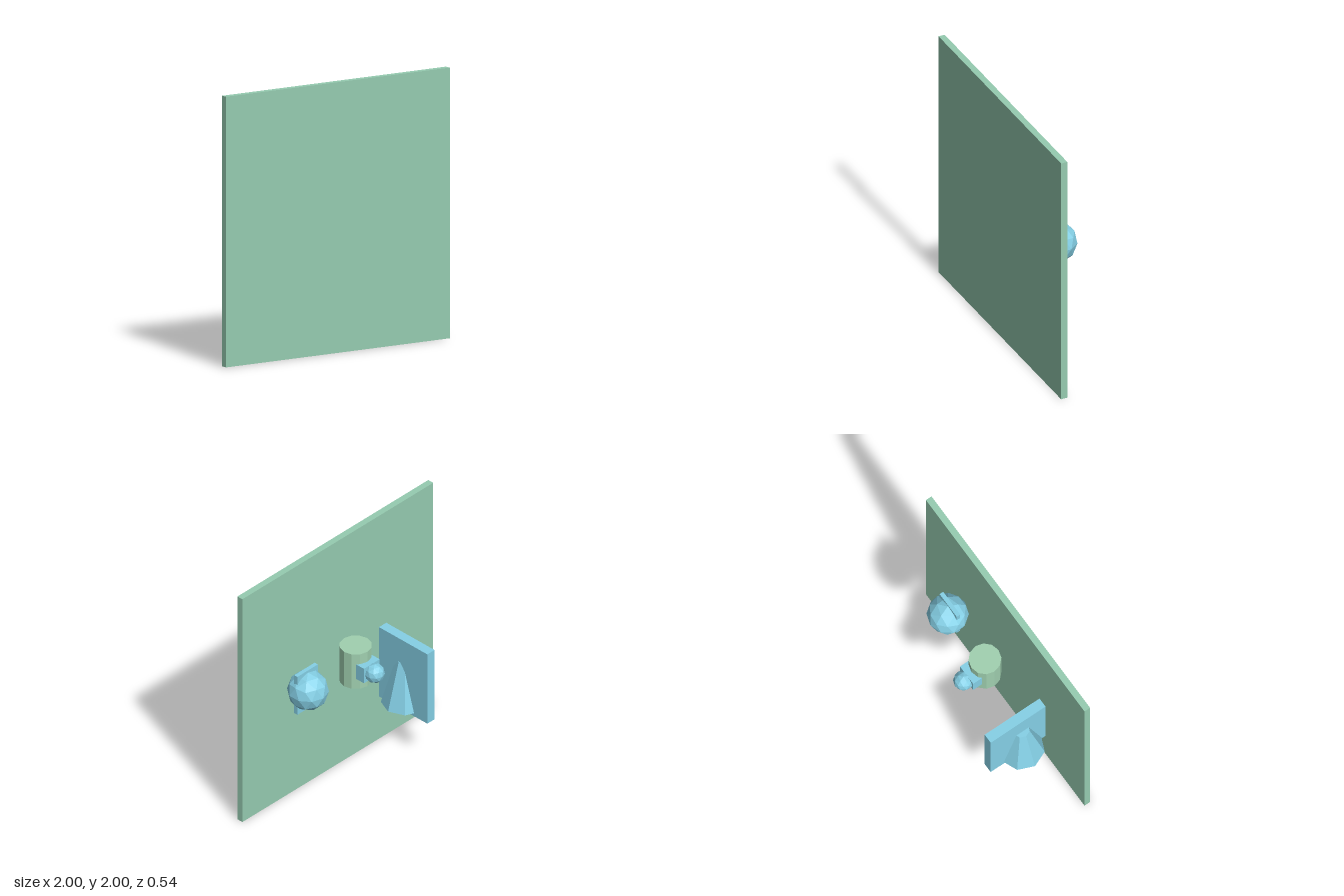
import * as THREE from 'three';

const material = (color) => new THREE.MeshStandardMaterial({ color, flatShading: true });

export function createModel() {
  const group = new THREE.Group();
  const green = material(0x96ccb1);
  const paleGreen = material(0xa0d0b0);
  const blue = material(0x85d0e6);

  const add = (name, geometry, mat, x, y, z) => {
    const mesh = new THREE.Mesh(geometry, mat);
    mesh.name = name;
    mesh.position.set(x, y, z);
    group.add(mesh);
    return mesh;
  };

  // Low-poly ball turned so that a corner points straight up
  const ball = (radius) =>
    new THREE.IcosahedronGeometry(radius, 1).rotateZ(Math.PI / 2 - Math.atan2((1 + Math.sqrt(5)) / 2, 1));

  // Large upright square panel
  add('panel', new THREE.BoxGeometry(2, 2, 0.05), green, 0, 1, 0.243);

  // Ball pierced by a thin plate
  add('largeBall', ball(0.154), blue, 0.487, 1.003, 0.05);
  add('ballPlate', new THREE.BoxGeometry(0.215, 0.34, 0.032), blue, 0.487, 1.003, 0.07);

  // Central drum with a block and a small ball behind it
  add('drum', new THREE.CylinderGeometry(0.12, 0.12, 0.308, 12), paleGreen, 0, 1.003, 0.038);
  add('drumBlock', new THREE.BoxGeometry(0.165, 0.13, 0.08), blue, 0, 1.003, -0.085);
  add('smallBall', ball(0.076), blue, 0, 1.003, -0.153);

  // Slab standing out from the panel, with a truncated cone through it
  add('slab', new THREE.BoxGeometry(0.076, 0.622, 0.488), blue, -0.47, 0.69, -0.025);
  add('cone', new THREE.CylinderGeometry(0.063, 0.174, 0.387, 8), blue, -0.49, 0.599, 0.015);

  return group;
}
